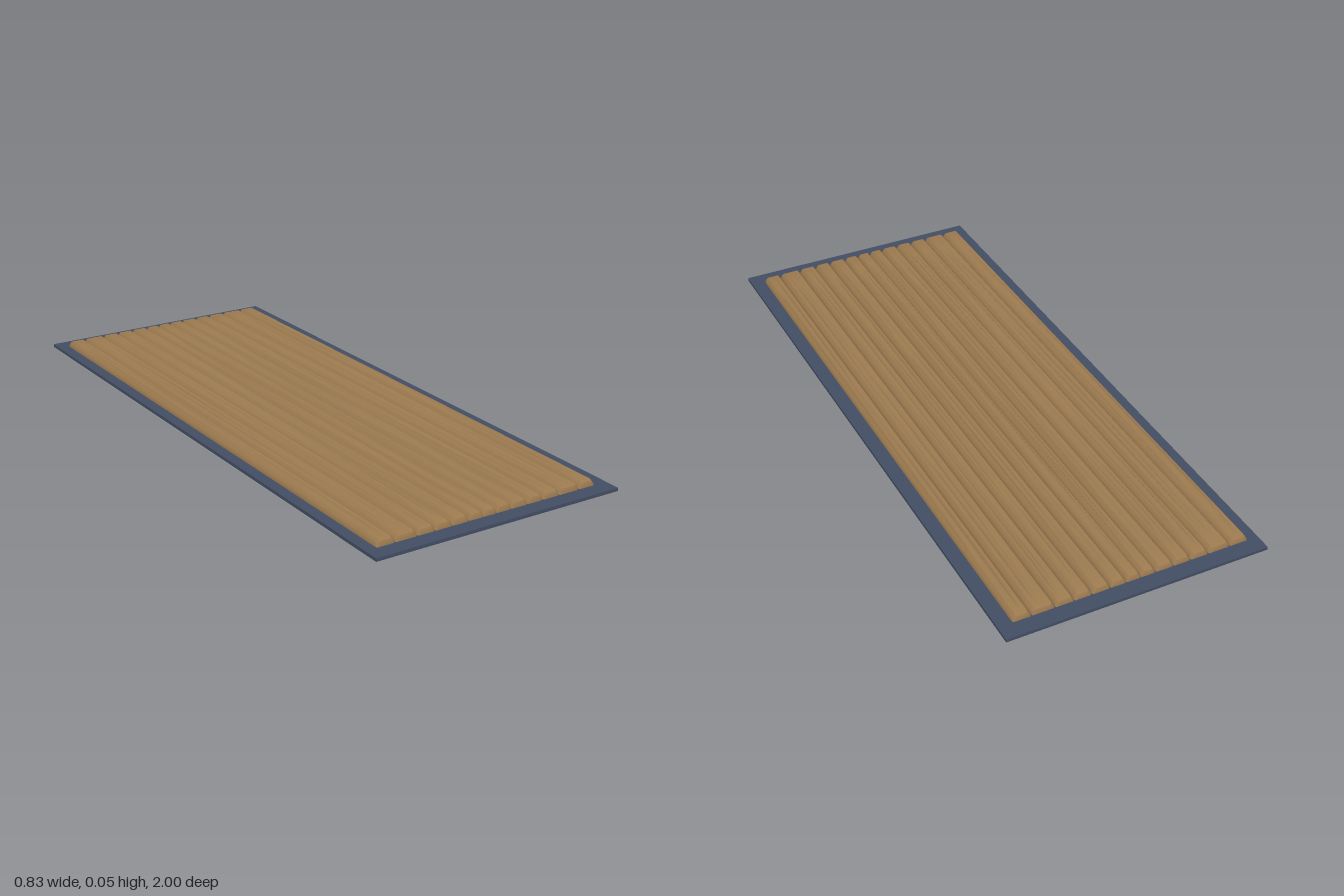
import * as THREE from 'three';
import { toCreasedNormals } from 'three/addons/utils/BufferGeometryUtils.js';

// Repeatable pseudo-random numbers for the wood grain
function seeded(seed) {
  return () => {
    seed = (seed * 16807) % 2147483647;
    return seed / 2147483647;
  };
}

// One plank: a chamfered cross-section lofted along z, with worn grooves in its top
function plankGeometry(x0, x1, rand) {
  const w = x1 - x0, cx = (x0 + x1) / 2, cy = 0.0255, bevel = 0.011;
  const grooves = [0.36, 0.68].map((t) => ({
    u: t + (rand() - 0.5) * 0.16,
    depth: 0.004 + rand() * 0.004,
    phase: rand() * 6.28,
    freq: 2 + rand() * 3,
  }));
  const stations = [-0.95, -0.947, -0.939];
  for (let i = 1; i < 24; i++) stations.push(-0.939 + (1.878 * i) / 24);
  stations.push(0.939, 0.947, 0.95);

  const section = (z) => {
    // Counter-clockwise from lower left
    const pts = [
      [x0, 0.015], [x0 + 0.005, 0.006], [x0 + 0.014, 0.002],
      [x1 - 0.014, 0.002], [x1 - 0.005, 0.006], [x1, 0.015],
      [x1, 0.034], [x1 - 0.004, 0.042], [x1 - 0.010, 0.049],
    ];
    const fade = Math.min(1, Math.max(0, (0.939 - Math.abs(z)) * 6));
    for (const g of [...grooves].reverse()) {
      const gx = x0 + g.u * w;
      const d = g.depth * fade * (0.65 + 0.35 * Math.sin(g.phase + g.freq * z));
      pts.push([gx + 0.004, 0.049], [gx, 0.049 - d], [gx - 0.004, 0.049]);
    }
    pts.push([x0 + 0.010, 0.049], [x0 + 0.004, 0.042], [x0, 0.034]);
    // Rounded ends
    const t = Math.max(0, (Math.abs(z) - 0.939) / bevel);
    const s = 1 - Math.sqrt(Math.max(0, 1 - t * t));
    return pts.map(([x, y]) => [
      cx + (x - cx) * (1 - 0.12 * s), cy + (y - cy) * (1 - 0.4 * s), z]);
  };

  const rings = stations.map(section);
  const pos = [];
  const tri = (a, b, c) => pos.push(...a, ...b, ...c);
  const n = rings[0].length;
  for (let i = 0; i < rings.length - 1; i++) {
    for (let j = 0; j < n; j++) {
      const k = (j + 1) % n;
      tri(rings[i][j], rings[i][k], rings[i + 1][k]);
      tri(rings[i][j], rings[i + 1][k], rings[i + 1][j]);
    }
  }
  // End caps
  const back = rings[0], front = rings[rings.length - 1];
  for (let j = 0; j < n; j++) {
    const k = (j + 1) % n;
    tri([cx, cy, 0.95], front[j], front[k]);
    tri([cx, cy, -0.95], back[k], back[j]);
  }
  const geo = new THREE.BufferGeometry();
  geo.setAttribute('position', new THREE.Float32BufferAttribute(pos, 3));
  return toCreasedNormals(geo, 0.6);
}

export function createModel() {
  const wood = new THREE.MeshStandardMaterial({ color: 0x9c7a4f });
  wood.name = 'wood';
  const slate = new THREE.MeshStandardMaterial({ color: 0x434d63 });
  slate.name = 'slate';

  const model = new THREE.Group();
  model.name = 'plankPanel';

  // Thin backing sheet through the middle of the planks
  const sheet = new THREE.Mesh(new THREE.BoxGeometry(0.83, 0.01, 2), slate);
  sheet.name = 'backingSheet';
  sheet.position.y = 0.0235;
  model.add(sheet);

  // Planks of uneven width, side by side
  const edges = [-0.38, -0.32, -0.248, -0.19, -0.134, -0.076, -0.028,
    0.018, 0.068, 0.126, 0.181, 0.24, 0.313, 0.371];
  const planks = new THREE.Group();
  planks.name = 'planks';
  const rand = seeded(4217);
  for (let i = 0; i < edges.length - 1; i++) {
    const plank = new THREE.Mesh(
      plankGeometry(edges[i] + 0.0005, edges[i + 1] - 0.0005, rand), wood);
    plank.name = `plank${i + 1}`;
    planks.add(plank);
  }
  planks.position.y = -0.002;
  planks.scale.y = 1.02;
  model.add(planks);

  return model;
}
